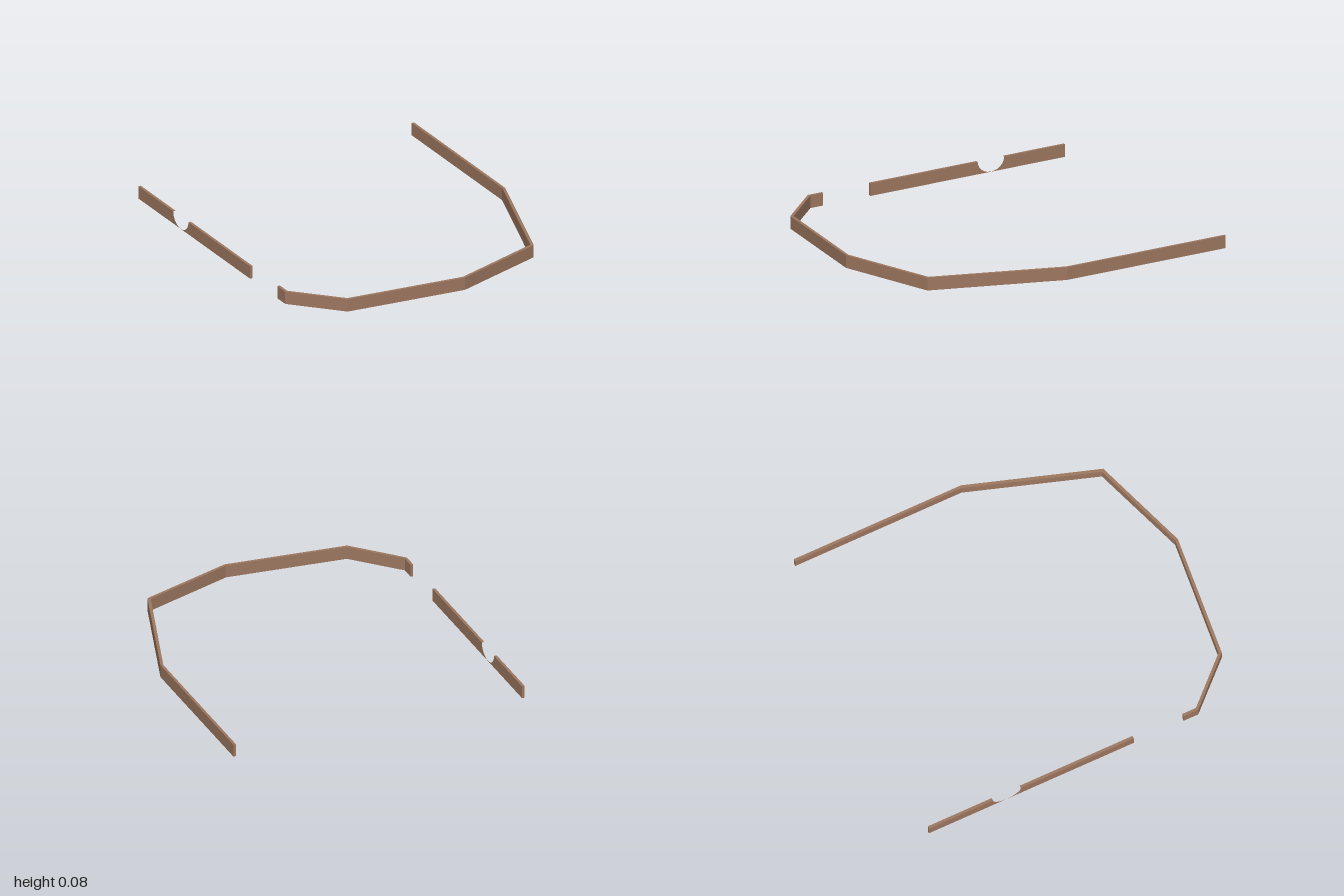
import * as THREE from 'three';

const HEIGHT = 0.075, THICK = 0.016, EDGE = 0.89;

export function createModel() {
  const model = new THREE.Group();
  const wood = new THREE.MeshStandardMaterial({ color: 0x9e7860 });
  wood.name = 'brown wood';

  function add(parent, geometry, name) {
    const mesh = new THREE.Mesh(geometry, wood);
    mesh.name = name;
    parent.add(mesh);
    return mesh;
  }

  // Long mitred board: outer line, then inner line back, as [x, z]
  const outline = [
    [-0.89, 0.58], [-0.89, 0.67], [-0.638, 0.935], [0.082, 1], [0.64, 0.8], [0.89, 0.035], [0.89, -1],
    [0.874, -1], [0.874, 0.03], [0.626, 0.785], [0.08, 0.983], [-0.63, 0.918], [-0.874, 0.663], [-0.874, 0.58],
  ];
  const plan = new THREE.Shape(outline.map(([x, z]) => new THREE.Vector2(x, -z)));
  const bend = new THREE.ExtrudeGeometry(plan, { depth: HEIGHT, bevelEnabled: false });
  bend.rotateX(-Math.PI / 2);
  add(model, bend, 'curvedSkirtingBoard');

  // Straight board with a rounded notch that is open between its two faces
  const board = new THREE.Group();
  board.name = 'notchedSkirtingBoard';
  model.add(board);
  const back = -1, front = 0.27, notchBack = -0.603, notchFront = -0.43;
  const midX = -EDGE + THICK / 2;

  // Side faces: dir = 1 faces +x, dir = -1 faces -x
  for (const dir of [1, -1]) {
    const mid = (notchBack + notchFront) / 2, radius = (notchFront - notchBack) / 2;
    const points = [[front, HEIGHT], [front, 0], [back, 0], [back, HEIGHT]];
    for (let i = 0; i <= 12; i++) {
      const a = Math.PI * i / 12;
      points.push([mid - radius * Math.cos(a), HEIGHT - (HEIGHT - 0.001) * Math.sin(a)]);
    }
    const side = new THREE.Shape(points.map(([z, y]) => new THREE.Vector2(-dir * z, y)));
    const face = add(board, new THREE.ShapeGeometry(side), dir > 0 ? 'innerFace' : 'outerFace');
    face.rotation.y = dir * Math.PI / 2;
    face.position.x = midX + dir * THICK / 2;
  }

  // Top and bottom strips
  function strip(z0, z1, y, turn, name) {
    const mesh = add(board, new THREE.PlaneGeometry(THICK, z1 - z0), name);
    mesh.rotation.x = turn;
    mesh.position.set(midX, y, (z0 + z1) / 2);
  }
  strip(back, notchBack, HEIGHT, -Math.PI / 2, 'topEdgeBack');
  strip(notchFront, front, HEIGHT, -Math.PI / 2, 'topEdgeFront');
  strip(back, front, 0, Math.PI / 2, 'bottomEdge');

  // End faces
  for (const [z, turn, name] of [[front, 0, 'frontEnd'], [back, Math.PI, 'backEnd']]) {
    const end = add(board, new THREE.PlaneGeometry(THICK, HEIGHT), name);
    end.rotation.y = turn;
    end.position.set(midX, HEIGHT / 2, z);
  }

  return model;
}
